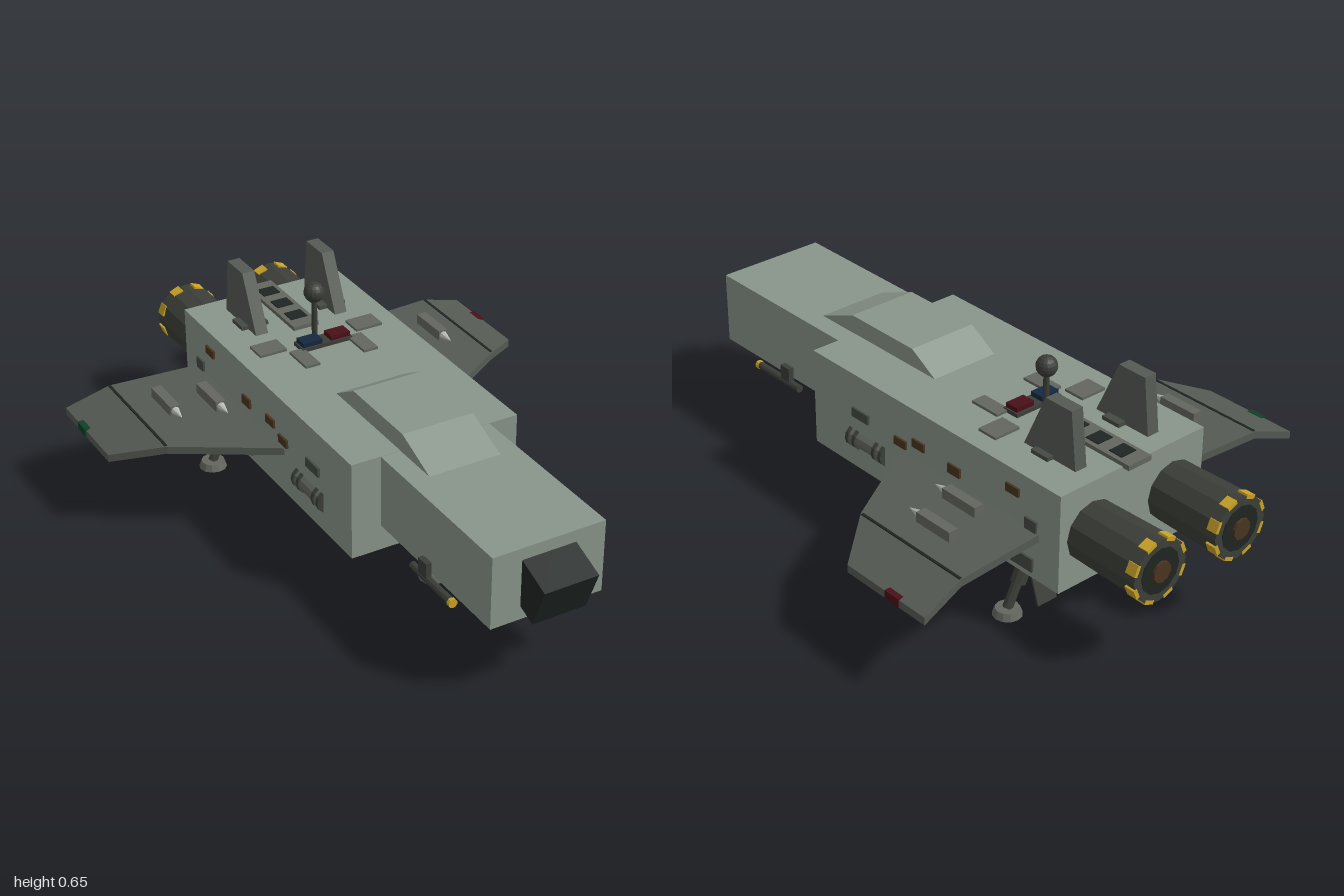
import * as THREE from 'three';
import { ConvexGeometry } from 'three/addons/geometries/ConvexGeometry.js';

const paint = (color) => new THREE.MeshStandardMaterial({ color, flatShading: true });
const HULL = paint(0x89958a), WING = paint(0x555a53), DARK = paint(0x3b3e38), BLACK = paint(0x1f2522);
const PANEL = paint(0x454a44), GREY = paint(0x62675f), YELLOW = paint(0xc9a227), BROWN = paint(0x4a3520);
const RED = paint(0x4a1018), GREEN = paint(0x0f4026), BLUE = paint(0x14283f), PALE = paint(0xb9bcb4);

export function createModel() {
  const root = new THREE.Group();
  root.name = 'spaceFighter';

  const add = (name, geometry, material, x = 0, y = 0, z = 0) => {
    const mesh = new THREE.Mesh(geometry, material);
    mesh.name = name;
    mesh.position.set(x, y, z);
    root.add(mesh);
    return mesh;
  };
  // Box given by its limits on each axis
  const box = (name, mat, [x0, x1], [y0, y1], [z0, z1]) =>
    add(name, new THREE.BoxGeometry(Math.abs(x1 - x0), Math.abs(y1 - y0), Math.abs(z1 - z0)), mat,
      (x0 + x1) / 2, (y0 + y1) / 2, (z0 + z1) / 2);
  // Round bar between two points
  const bar = (name, mat, a, b, r0, r1 = r0, sides = 10) => {
    const p = new THREE.Vector3(...a), q = new THREE.Vector3(...b);
    const mid = p.clone().add(q).multiplyScalar(0.5);
    const mesh = add(name, new THREE.CylinderGeometry(r1, r0, p.distanceTo(q), sides), mat, mid.x, mid.y, mid.z);
    mesh.quaternion.setFromUnitVectors(new THREE.Vector3(0, 1, 0), q.sub(p).normalize());
    return mesh;
  };
  // Convex solid from corner points
  const solid = (name, mat, points) =>
    add(name, new ConvexGeometry(points.map((p) => new THREE.Vector3(...p))), mat);
  // Side profile of [z, y] points stretched between two x values
  const slab = (name, mat, x0, x1, profile) =>
    solid(name, mat, profile.flatMap(([z, y]) => [[x0, y, z], [x1, y, z]]));

  // Fuselage
  box('mainHull', HULL, [-0.272, 0.272], [0.158, 0.468], [-0.735, 0.32]);
  box('noseHull', HULL, [-0.178, 0.178], [0.24, 0.467], [0.3, 0.89]);
  slab('canopy', HULL, -0.115, 0.115, [[0.48, 0.465], [0.33, 0.526], [0.055, 0.526], [-0.05, 0.465]]);
  add('noseSensor', new THREE.BoxGeometry(0.17, 0.137, 0.2), BLACK, 0, 0.36, 0.88).rotation.x = 0.37;

  // Spine and belly vent strips
  for (const [name, y] of [['spine', 0.472], ['belly', 0.156]]) {
    box(name + 'Strip', GREY, [-0.043, 0.043], [y - 0.008, y + 0.008], [-0.757, -0.44]);
    for (const z of [-0.69, -0.6, -0.51])
      box(name + 'Vent', BLACK, [-0.028, 0.028], [y - 0.011, y + 0.011], [z - 0.024, z + 0.024]);
  }

  // Antenna and its signal boxes
  bar('antennaRod', DARK, [0, 0.46, -0.387], [0, 0.61, -0.387], 0.009);
  add('antennaBall', new THREE.SphereGeometry(0.032, 14, 10), DARK, 0, 0.615, -0.387);
  box('signalBase', DARK, [-0.085, 0.085], [0.465, 0.48], [-0.362, -0.305]);
  box('blueSignal', BLUE, [-0.08, -0.015], [0.465, 0.495], [-0.355, -0.31]);
  box('redSignal', RED, [0.015, 0.08], [0.465, 0.495], [-0.355, -0.31]);

  // Landing leg with foot, mount, yellow latches and door
  const leg = (name, top, foot, door) => {
    const [x, , z] = top;
    bar(name + 'Strut', DARK, [foot[0], 0.02, foot[2]], top, 0.015);
    bar(name + 'Sleeve', DARK, [0, 1, 2].map((i) => foot[i] * 0.45 + top[i] * 0.55), top, 0.023);
    bar(name + 'Foot', GREY, [foot[0], 0, foot[2]], [foot[0], 0.022, foot[2]], 0.044, 0.036, 12);
    box(name + 'Mount', DARK, [x - 0.035, x + 0.035], [0.142, 0.162], [z - 0.045, z + 0.045]);
    for (const s of [-1, 1])
      box(name + 'Latch', YELLOW, [x + s * 0.025 - 0.008, x + s * 0.025 + 0.008], [0.136, 0.146], [z - 0.03, z + 0.03]);
    const d = add(name + 'Door', new THREE.BoxGeometry(0.07, 0.1, 0.006), DARK, ...door);
    d.rotation.x = 0.33;
  };
  leg('frontLeg', [0, 0.16, 0.25], [0, 0, 0.315], [0, 0.105, 0.19]);

  for (const s of [-1, 1]) {
    const side = s > 0 ? 'left' : 'right';
    const sx = (a, b) => [s * a, s * b];

    leg(side + 'RearLeg', [s * 0.215, 0.16, -0.55], [s * 0.285, 0, -0.55], [s * 0.212, 0.097, -0.615]);

    // Engine with striped rim and hub
    const ex = s * 0.153, ey = 0.314;
    bar(side + 'Engine', DARK, [ex, ey, -0.72], [ex, ey, -0.99], 0.091, 0.097, 12);
    bar(side + 'EngineRecess', BLACK, [ex, ey, -0.98], [ex, ey, -0.992], 0.07, 0.07, 12);
    bar(side + 'EngineHub', BROWN, [ex, ey, -0.98], [ex, ey, -1], 0.032, 0.032, 10);
    for (let i = 0; i < 8; i++) {
      const a = ((i + 0.5) / 8) * Math.PI * 2;
      const m = add(side + 'RimStripe', new THREE.BoxGeometry(0.012, 0.034, 0.034), YELLOW,
        ex + Math.cos(a) * 0.092, ey + Math.sin(a) * 0.092, -0.974);
      m.rotation.z = a;
    }

    // Tail fin
    slab(side + 'Fin', WING, s * 0.117, s * 0.158, [[-0.466, 0.46], [-0.55, 0.645], [-0.65, 0.645], [-0.672, 0.46]]);
    box(side + 'FinFoot', PANEL, sx(0.09, 0.18), [0.465, 0.48], [-0.585, -0.52]);

    // Deck plates
    box(side + 'OuterDeckPlate', GREY, sx(0.12, 0.21), [0.465, 0.476], [-0.41, -0.34]);
    box(side + 'InnerDeckPlate', GREY, sx(0.075, 0.123), [0.465, 0.476], [-0.32, -0.215]);

    // Wing: flat inner panel, drooped outer panel
    const station = (x, y, front, back) => [front, back].flatMap((z) => [[s * x, y - 0.012, z], [s * x, y + 0.012, z]]);
    const kink = station(0.565, 0.298, -0.26, -0.675);
    solid(side + 'InnerWing', WING, [...station(0.26, 0.298, -0.073, -0.655), ...kink]);
    solid(side + 'OuterWing', WING, [...kink, ...station(0.705, 0.251, -0.375, -0.692)]);
    box(side + 'WingSeam', BLACK, sx(0.561, 0.569), [0.284, 0.312], [-0.672, -0.266]);
    box(side + 'TipLight', s > 0 ? RED : GREEN, sx(0.685, 0.709), [0.242, 0.268], [-0.59, -0.535]);

    // Missiles above and below the wing
    for (const [x, y, z] of [[0.34, 0.333, -0.41], [0.47, 0.333, -0.455], [0.405, 0.264, -0.43], [0.538, 0.264, -0.475]]) {
      box(side + 'MissilePylon', DARK, sx(x - 0.008, x + 0.008), [Math.min(y, 0.298), Math.max(y, 0.298)], [z - 0.06, z + 0.03]);
      box(side + 'Missile', GREY, sx(x - 0.016, x + 0.016), [y - 0.016, y + 0.016], [z - 0.08, z + 0.055]);
      bar(side + 'MissileTip', PALE, [s * x, y, z + 0.053], [s * x, y, z + 0.1], 0.014, 0.001, 8);
    }

    // Nose guns
    for (const x of [0.098, 0.187]) {
      bar(side + 'Gun', DARK, [s * x, 0.222, 0.51], [s * x, 0.222, 0.71], 0.012);
      bar(side + 'GunMuzzle', YELLOW, [s * x, 0.222, 0.71], [s * x, 0.222, 0.722], 0.014);
      box(side + 'GunMount', DARK, sx(x - 0.009, x + 0.009), [0.222, x > 0.15 ? 0.276 : 0.245], [0.553, 0.595]);
    }

    // Side tank with bands
    bar(side + 'Tank', GREY, [s * 0.256, 0.252, -0.005], [s * 0.256, 0.252, 0.155], 0.031, 0.031, 12);
    for (const z of [0, 0.03, 0.12, 0.15])
      bar(side + 'TankBand', DARK, [s * 0.256, 0.252, z - 0.006], [s * 0.256, 0.252, z + 0.006], 0.036, 0.036, 12);

    // Flank panels: material, z and y of centre, length, height
    for (const [mat, z, y, l, h] of [
      [PANEL, 0.1, 0.344, 0.075, 0.03], [BROWN, -0.16, 0.363, 0.052, 0.026], [BROWN, -0.08, 0.336, 0.052, 0.026],
      [BROWN, -0.313, 0.352, 0.05, 0.03], [BROWN, -0.553, 0.405, 0.052, 0.026], [PANEL, -0.626, 0.328, 0.045, 0.035],
      [PANEL, -0.458, 0.2, 0.357, 0.042],
    ]) box(side + 'FlankPanel', mat, sx(0.265, 0.279), [y - h / 2, y + h / 2], [z - l / 2, z + l / 2]);
  }
  return root;
}
